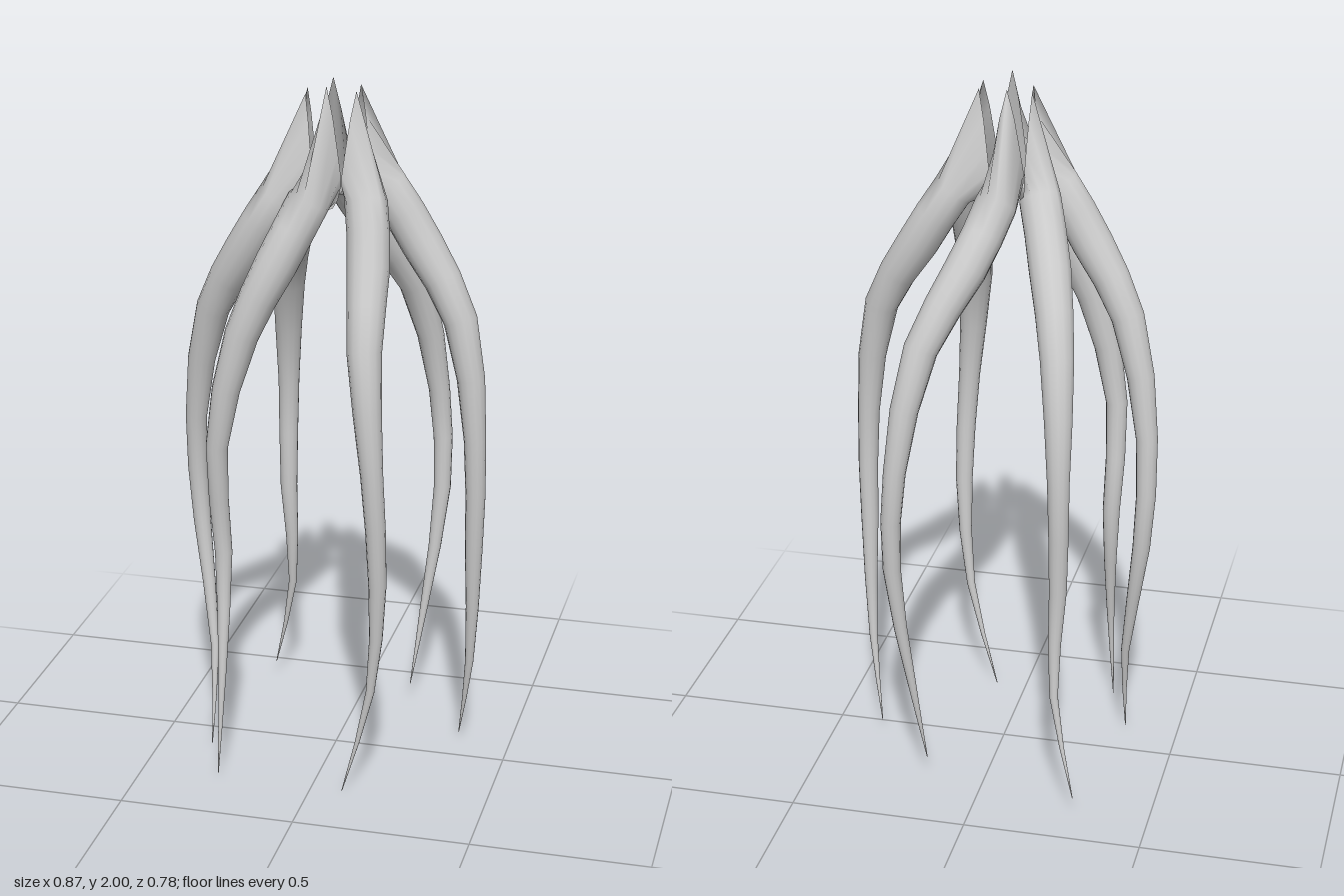
import * as THREE from 'three';

const SIDES = 14;
// Radius at each path point after the collar, from shoulder to tip
const RADII = [0.058, 0.058, 0.047, 0.031, 0.025, 0.012, 0.001];
// Six corners (x, z) of the small hexagon around which the tendrils meet
const HUB = [[-0.08, 0.085], [-0.055, 0.003], [0.035, -0.02], [0.11, 0.052], [0.05, 0.145], [-0.03, 0.145]];

// One tendril per hexagon edge: height of the pointed collar, then centre line
const TENDRILS = [
  { name: 'backRightTendril', top: 1.97, path: [[-0.1, 1.69, 0], [-0.155, 1.53, -0.12], [-0.203, 1.33, -0.25], [-0.226, 1, -0.327], [-0.225, 0.67, -0.315], [-0.22, 0.35, -0.335], [-0.285, 0.05, -0.375]] },
  { name: 'backLeftTendril', top: 1.99, path: [[0.003, 1.69, -0.085], [0.062, 1.54, -0.185], [0.162, 1.34, -0.288], [0.222, 1, -0.357], [0.237, 0.7, -0.348], [0.195, 0.33, -0.315], [0.16, 0.07, -0.285]] },
  { name: 'leftTendril', top: 1.98, path: [[0.14, 1.7, -0.005], [0.24, 1.54, -0.01], [0.355, 1.34, 0.018], [0.405, 1, 0.035], [0.405, 0.67, 0.02], [0.392, 0.3, -0.015], [0.355, 0.04, -0.065]] },
  { name: 'frontLeftTendril', top: 1.98, path: [[0.12, 1.69, 0.15], [0.143, 1.53, 0.22], [0.158, 1.33, 0.325], [0.188, 1, 0.36], [0.2, 0.67, 0.335], [0.175, 0.33, 0.31], [0.09, 0, 0.295]] },
  { name: 'frontRightTendril', top: 2, path: [[-0.033, 1.69, 0.175], [-0.108, 1.53, 0.228], [-0.2, 1.33, 0.253], [-0.275, 1, 0.254], [-0.272, 0.67, 0.215], [-0.265, 0.33, 0.27], [-0.275, 0.01, 0.295]] },
  { name: 'rightTendril', top: 1.97, path: [[-0.125, 1.69, 0.13], [-0.225, 1.53, 0.115], [-0.335, 1.34, 0.07], [-0.405, 1, 0.02], [-0.4, 0.67, 0], [-0.35, 0.3, 0.06], [-0.345, 0.01, 0.12]] },
];

function tendrilGeometry([ax, az], [bx, bz], top, path) {
  const positions = [], index = [];
  const start = new THREE.Vector3((ax + bx) / 2, 1.78, (az + bz) / 2);
  const curve = new THREE.CatmullRomCurve3([start, ...path.map((p) => new THREE.Vector3(...p))]);
  const side = new THREE.Vector3(ax - bx, 0, az - bz);
  const halfWidth = side.length() / 2;
  side.normalize();

  // Upright leaf-shaped collar: pointed above, rounded below
  for (let j = 0; j < SIDES; j++) {
    const a = (j / SIDES) * Math.PI * 2 + Math.PI / 2;
    const c = Math.cos(a), s = Math.sin(a);
    const y = s > 0 ? 1.75 + (top - 1.75) * (1 - Math.abs(c) ** 1.3) : 1.75 + 0.09 * s;
    positions.push(start.x + side.x * c * halfWidth, y, start.z + side.z * c * halfWidth);
  }

  // Round rings at every path point and halfway between, frame carried along
  const steps = path.length * 2;
  for (let i = 2; i <= steps; i++) {
    const centre = curve.getPoint(i / steps);
    const tangent = curve.getTangent(i / steps);
    const k = i / 2 - 1;
    const radius = (RADII[Math.floor(k)] + RADII[Math.ceil(k)]) / 2;
    side.addScaledVector(tangent, -side.dot(tangent)).normalize();
    const up = tangent.clone().cross(side);
    for (let j = 0; j < SIDES; j++) {
      const a = (j / SIDES) * Math.PI * 2 + Math.PI / 2;
      const p = centre.clone()
        .addScaledVector(side, Math.cos(a) * radius)
        .addScaledVector(up, Math.sin(a) * radius);
      positions.push(p.x, p.y, p.z);
    }
  }

  // Skin between neighbouring rings
  for (let i = 0; i < steps - 1; i++) {
    for (let j = 0; j < SIDES; j++) {
      const a = i * SIDES + j, b = i * SIDES + ((j + 1) % SIDES);
      index.push(a, b, a + SIDES, b, b + SIDES, a + SIDES);
    }
  }
  const geometry = new THREE.BufferGeometry();
  geometry.setAttribute('position', new THREE.Float32BufferAttribute(positions, 3));
  geometry.setIndex(index);
  geometry.computeVertexNormals();
  return geometry;
}

export function createModel() {
  const model = new THREE.Group();
  model.name = 'tendrilCluster';
  const material = new THREE.MeshStandardMaterial({ color: 0xcccccc, side: THREE.DoubleSide });
  TENDRILS.forEach(({ name, top, path }, i) => {
    const mesh = new THREE.Mesh(tendrilGeometry(HUB[i], HUB[(i + 1) % HUB.length], top, path), material);
    mesh.name = name;
    model.add(mesh);
  });
  return model;
}
